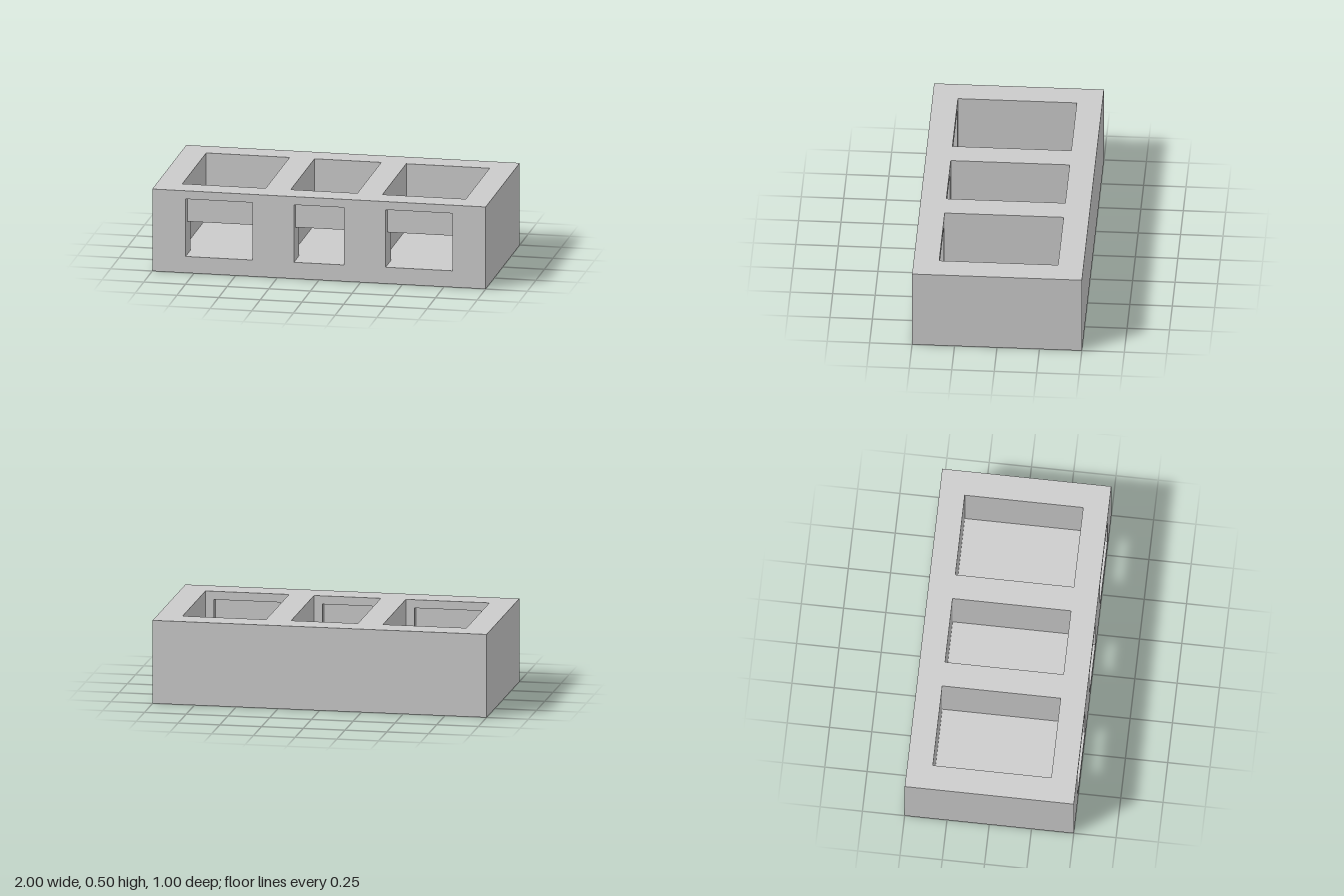
import * as THREE from 'three';

const material = new THREE.MeshStandardMaterial({ color: 0xcccccc, flatShading: true });

// x ranges of the three compartments and of their front windows
const cells = [[-0.85, -0.35], [-0.2, 0.2], [0.35, 0.85]];
const windows = [[-0.8, -0.4], [-0.15, 0.15], [0.4, 0.8]];

// Comb-like slab, 2 wide, with notches cut from its lower edge
function notchedSlab(spans, height, notchHeight, depth) {
  const shape = new THREE.Shape();
  shape.moveTo(-1, 0);
  for (const [a, b] of spans) {
    shape.lineTo(a, 0);
    shape.lineTo(a, notchHeight);
    shape.lineTo(b, notchHeight);
    shape.lineTo(b, 0);
  }
  shape.lineTo(1, 0);
  shape.lineTo(1, height);
  shape.lineTo(-1, height);
  shape.closePath();
  return new THREE.ExtrudeGeometry(shape, { depth, bevelEnabled: false });
}

export function createModel() {
  const model = new THREE.Group();
  model.name = 'compartmentTray';

  function add(name, geometry, x, y, z) {
    const mesh = new THREE.Mesh(geometry, material);
    mesh.name = name;
    mesh.position.set(x, y, z);
    model.add(mesh);
  }

  // Floor slab
  add('floor', new THREE.BoxGeometry(2, 0.1, 1), 0, 0.05, 0);

  // Back wall, side walls and dividers as one piece, open to the front
  const walls = notchedSlab(cells, 0.85, 0.7, 0.4).rotateX(-Math.PI / 2);
  add('wallsAndDividers', walls, 0, 0.1, 0.35);

  // Front wall with window openings down to the floor
  add('frontWall', notchedSlab(windows, 0.4, 0.35, 0.15), 0, 0.1, 0.35);

  // Recessed panel closing the upper part of each window
  windows.forEach(([a, b], i) => {
    add(`windowPanel${i + 1}`, new THREE.BoxGeometry(b - a, 0.15, 0.05), (a + b) / 2, 0.375, 0.425);
  });

  return model;
}
